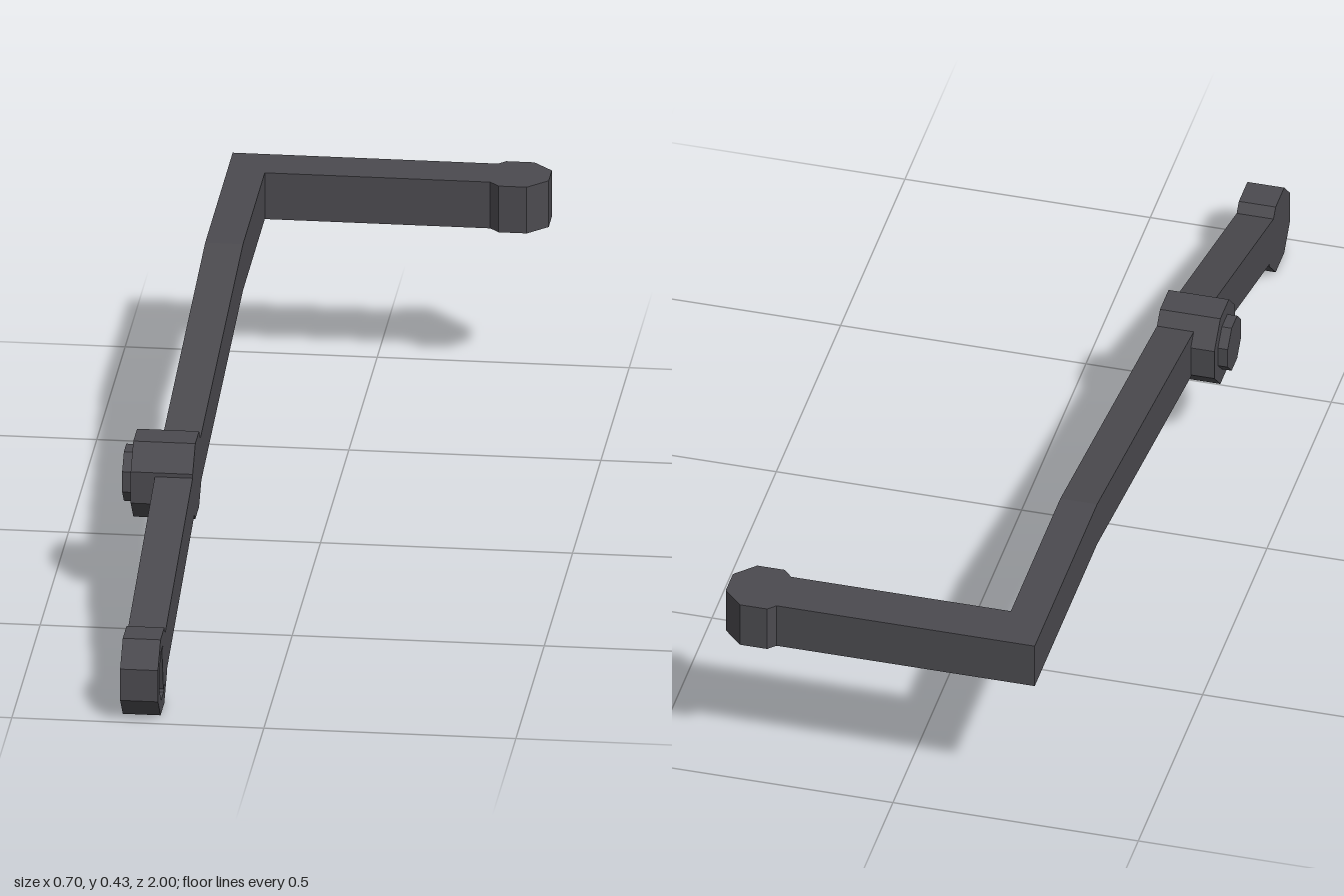
import * as THREE from 'three';

const BAR_X = -0.21;   // flush face of the bar
const BAR_W = 0.075;

// Flat-topped octagon with the given apothem
function octagonPoints(cx, cy, apothem) {
  const r = apothem / Math.cos(Math.PI / 8);
  return Array.from({ length: 8 }, (_, i) => {
    const a = (i + 0.5) * Math.PI / 4;
    return new THREE.Vector2(cx + r * Math.cos(a), cy + r * Math.sin(a));
  });
}

function plate(points, depth, hole) {
  const shape = new THREE.Shape(points);
  if (hole) shape.holes.push(new THREE.Path(hole));
  return new THREE.ExtrudeGeometry(shape, { depth, bevelEnabled: false });
}

// (z, y) profile extruded from x towards -x
function sideways(points, x, depth, hole) {
  return plate(points, depth, hole).rotateY(-Math.PI / 2).translate(x, 0, 0);
}

// (x, z) profile extruded from y downwards
function downward(points, y, depth, hole) {
  return plate(points, depth, hole).rotateX(Math.PI / 2).translate(0, y, 0);
}

export function createModel() {
  const group = new THREE.Group();
  const metal = new THREE.MeshStandardMaterial({ color: 0x4b4a4f });
  metal.name = 'dark metal';
  const add = (name, geometry) => {
    const mesh = new THREE.Mesh(geometry, metal);
    mesh.name = name;
    group.add(mesh);
  };

  // Long bent bar, cut square inside the front eye
  const barProfile = [
    [-0.885, 0.329], [-0.5, 0.329], [0.31, 0.204], [0.904, 0.036],
    [0.93, 0.126], [0.31, 0.302], [-0.5, 0.427], [-0.885, 0.427],
  ].map(([z, y]) => new THREE.Vector2(z, y));
  add('leverBar', sideways(barProfile, BAR_X, BAR_W));

  // Cross arm at the rear
  const arm = new THREE.BoxGeometry(0.568, 0.098, 0.1);
  add('crossArm', arm.translate(-0.001, 0.378, -0.935));

  // Front eye: open recess on one side, solid back
  const recess = 0.02;
  const eye = octagonPoints(0.921, 0.08, 0.08);
  add('frontEyeRim', sideways(eye, BAR_X, recess, octagonPoints(0.921, 0.08, 0.052)));
  add('frontEyeBack', sideways(eye, BAR_X - recess, BAR_W - recess));

  // Pivot boss with a smaller stub on its outer side
  add('pivotBoss', sideways(octagonPoints(0.308, 0.255, 0.08), BAR_X, 0.123));
  add('pivotStub', sideways(octagonPoints(0.308, 0.255, 0.052), -0.333, 0.02));

  // Arm eye: recess opens underneath
  const armEye = octagonPoints(0.284, -0.933, 0.067);
  add('armEyeTop', downward(armEye, 0.427, 0.098 - recess));
  add('armEyeRim', downward(armEye, 0.329 + recess, recess, octagonPoints(0.284, -0.933, 0.045)));

  return group;
}
